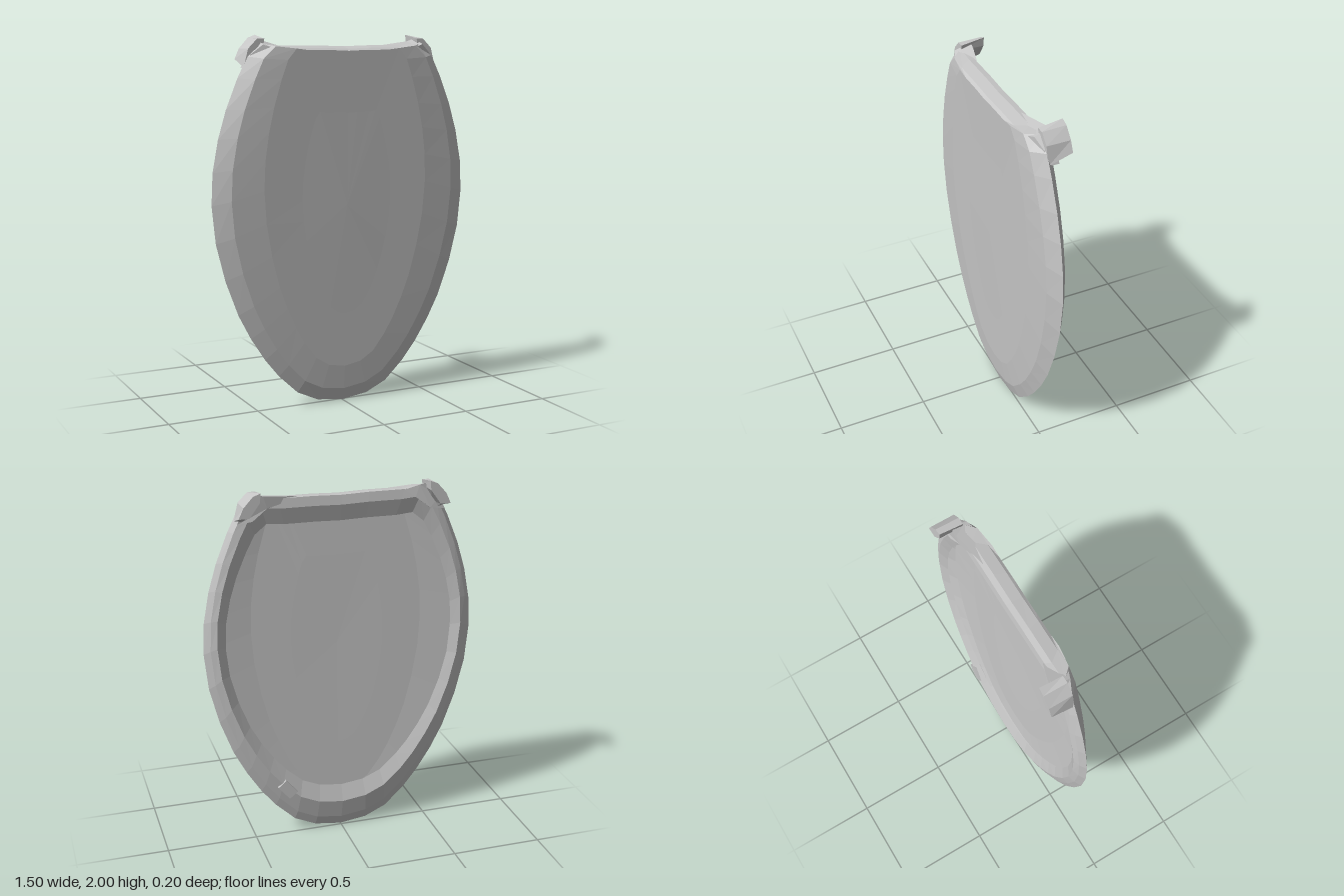
import * as THREE from 'three';

// right half of the lid outline, bottom centre to top centre
const HALF = [
  [0, 0], [0.15, 0.02], [0.27, 0.075], [0.38, 0.18], [0.46, 0.28], [0.54, 0.405], [0.61, 0.54], [0.68, 0.73],
  [0.73, 0.93], [0.75, 1.13], [0.742, 1.3], [0.71, 1.47], [0.665, 1.62], [0.6, 1.78],
  [0.545, 1.89], [0.47, 1.955], [0.36, 1.945], [0.16, 1.945], [0, 1.94],
];
const TOP = 1.955;

// nested loops from front centre, round the rim, to the edge of the rear opening:
// width factor, bottom y, top y, z at bottom, z at top
const LOOPS = [
  [0.35, 0.5, 1.6, 0.055, 0.084],
  [0.64, 0.2, 1.93, 0.047, 0.094],
  [0.875, 0.07, 1.942, 0.035, 0.078],
  [1, 0, 1.955, 0.012, 0.018],
  [0.955, 0.055, 1.952, -0.008, -0.012],
  [0.91, 0.165, 1.9, -0.034, -0.018],
  [0.845, 0.26, 1.81, -0.006, 0.006],
];

// thin hollow shell, open at the back
function lidGeometry() {
  const left = HALF.slice(1, -1).reverse().map(([x, y]) => [-x, y]);
  const outline = [...HALF, ...left];
  const n = outline.length;
  const pos = [];
  const index = [];
  for (const [sx, y0, y1, z0, z1] of LOOPS) {
    for (const [x, y] of outline) {
      const t = y / TOP;
      pos.push(x * sx, y0 + (y1 - y0) * t, z0 + (z1 - z0) * t);
    }
  }
  const centre = pos.length / 3;
  pos.push(0, 1.1, 0.074);
  const last = (LOOPS.length - 1) * n;
  for (let i = 0; i < n; i++) {
    const j = (i + 1) % n;
    index.push(centre, i, j);
    for (let k = 0; k < last; k += n) {
      index.push(k + i, k + n + i, k + n + j, k + i, k + n + j, k + j);
    }
  }
  const g = new THREE.BufferGeometry();
  g.setAttribute('position', new THREE.Float32BufferAttribute(pos, 3));
  g.setIndex(index);
  g.computeVertexNormals();
  return g;
}

// front-view polygon extruded from z0 to z1, on either side, then reshaped by a rule
function slab(points, z0, z1, side, rule) {
  const shape = new THREE.Shape(points.map(([x, y]) => new THREE.Vector2(x * side, y)));
  const g = new THREE.ExtrudeGeometry(shape, { depth: z1 - z0, bevelEnabled: false });
  g.translate(0, 0, z0);
  const p = g.attributes.position;
  const v = new THREE.Vector3();
  for (let i = 0; i < p.count; i++) {
    v.fromBufferAttribute(p, i);
    rule(v, v.z < (z0 + z1) / 2);
    p.setXYZ(i, v.x, v.y, v.z);
  }
  g.computeVertexNormals();
  return g;
}

export function createModel() {
  const group = new THREE.Group();
  const grey = new THREE.MeshStandardMaterial({ color: 0xc6c6c6 });
  grey.name = 'greyPlastic';
  grey.flatShading = true;
  grey.side = THREE.DoubleSide;
  const add = (name, geometry) => {
    const mesh = new THREE.Mesh(geometry, grey);
    mesh.name = name;
    group.add(mesh);
    return mesh;
  };

  add('lid', lidGeometry());

  for (const side of [1, -1]) {
    const label = side > 0 ? 'left' : 'right';
    // slanted hinge tab reaching backwards, its lower rear corner cut away
    const tab = [[0.45, 2], [0.455, 1.95], [0.51, 1.86], [0.53, 1.82], [0.565, 1.835], [0.54, 1.93], [0.49, 1.985]];
    add(label + 'HingeTab', slab(tab, -0.108, 0.02, side, (v, rear) => {
      if (rear) v.y = Math.max(v.y, 1.875);
      else v.y = Math.min(v.y, 1.98);
    }));
    // shoulder blending the tab into the lid corner, longer on the left
    const reach = side > 0 ? 0.2 : 0.34;
    const shoulder = [[reach, 1.94], [0.42, 1.965], [0.47, 1.98], [0.53, 1.9], [0.56, 1.83], [0.48, 1.84], [0.4, 1.9]];
    add(label + 'HingeShoulder', slab(shoulder, -0.04, 0.085, side, (v, rear) => {
      const x = Math.abs(v.x);
      if (rear) v.z += Math.max(0, 0.45 - x) * 0.2;
      else {
        v.z -= Math.max(0, x - 0.38) * 0.4;
        if (v.y > 1.9) v.y -= 0.03;
      }
    }));
  }

  // small rest pad on the rear rim
  const pad = add('restPad', new THREE.BoxGeometry(0.06, 0.1, 0.045));
  pad.position.set(0.32, 0.29, -0.016);
  pad.rotation.z = -0.7;
  return group;
}
